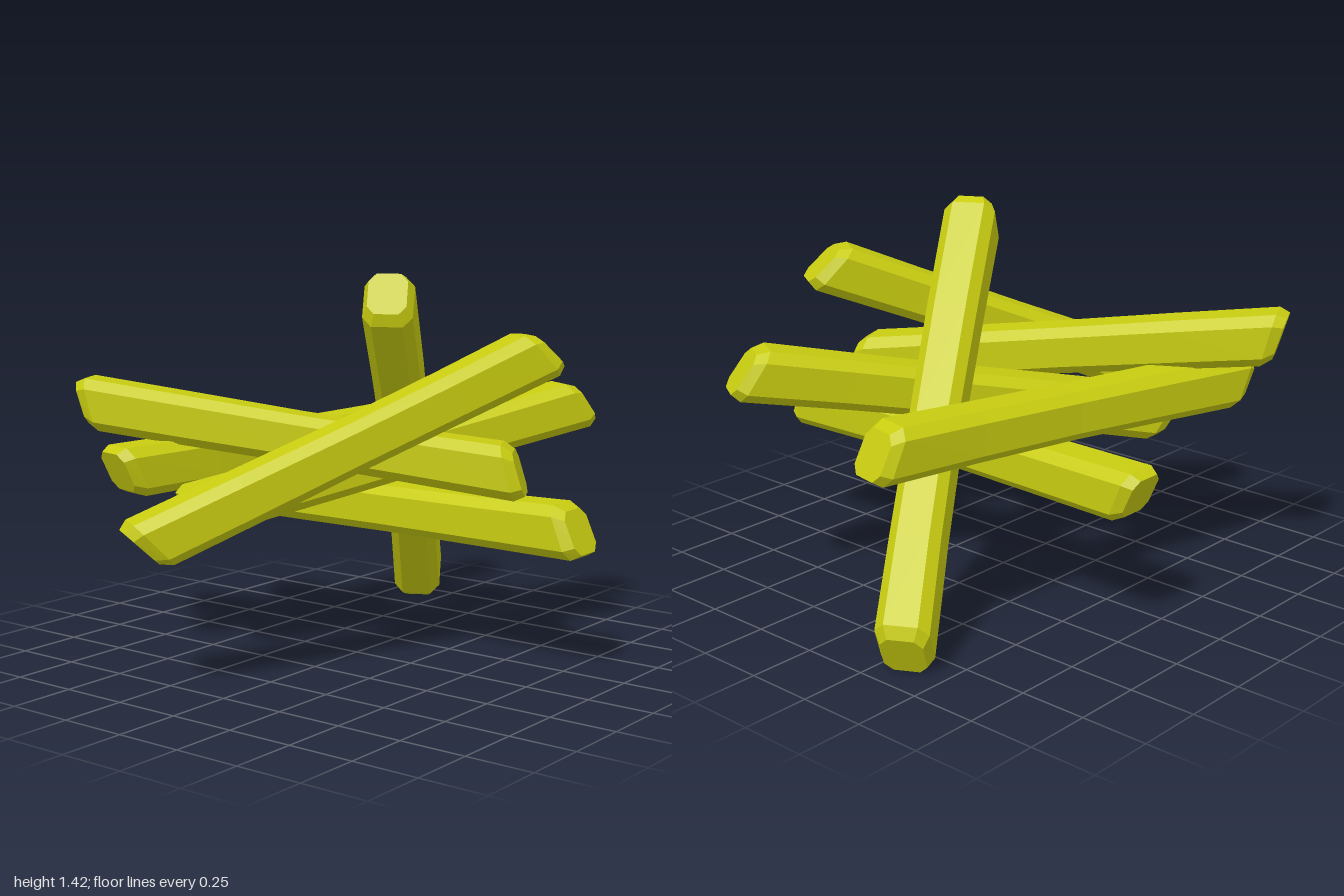
import * as THREE from 'three';

// Cross-section: square with chamfered corners, counter-clockwise seen from +z
const R = 0.093, C = 0.058;
const SECTION = [[R, -C], [R, C], [C, R], [-C, R], [-R, C], [-R, -C], [-C, -R], [C, -R]];

// Stations along the stick: z, section scale, slant of the cut, sideways bow
const STATIONS = [
  [-0.815, 0.78, 0.45, 0.004],
  [-0.775, 1.0, 0.4, 0.003],
  [-0.42, 0.98, 0.05, -0.004],
  [0.0, 0.94, 0, -0.007],
  [0.42, 0.97, 0.05, -0.003],
  [0.775, 1.02, 0.4, 0.006],
  [0.815, 0.8, 0.45, 0.008],
];

// Lofted stick along z with slanted, bevelled ends
function stickGeometry() {
  const n = SECTION.length;
  const positions = [];
  const index = [];
  for (const [z, s, slant, bow] of STATIONS) {
    for (const [x, y] of SECTION) positions.push(x * s + bow, y * s, z - slant * y * s);
  }
  for (let k = 0; k < STATIONS.length - 1; k++) {
    for (let i = 0; i < n; i++) {
      const a = k * n + i;
      const b = k * n + (i + 1) % n;
      index.push(a, b, b + n, a, b + n, a + n);
    }
  }
  // End caps
  const last = (STATIONS.length - 1) * n;
  for (let i = 1; i < n - 1; i++) {
    index.push(0, i + 1, i);
    index.push(last, last + i, last + i + 1);
  }
  const geometry = new THREE.BufferGeometry();
  geometry.setAttribute('position', new THREE.Float32BufferAttribute(positions, 3));
  geometry.setIndex(index);
  const flat = geometry.toNonIndexed();
  flat.computeVertexNormals();
  return flat;
}

// Each stick: name, centre, direction of its axis
const STICKS = [
  ['frontStick', [-0.29, 0.835, 0.19], [1.25, 0.6, 0.78]],
  ['crossingStick', [-0.205, 0.83, -0.11], [0.69, -0.21, 1.42]],
  ['bottomStick', [0.19, 0.53, 0.025], [0, 0, 1]],
  ['backStick', [0.15, 0.735, -0.43], [1.55, 0.05, 0.3]],
  ['middleStick', [0.205, 0.725, 0.02], [1.37, 0.32, 0.79]],
  ['leaningStick', [0.48, 0.705, -0.125], [0.86, -1.23, -0.47]],
];

export function createModel() {
  const group = new THREE.Group();
  group.name = 'stickPile';
  const material = new THREE.MeshStandardMaterial({ color: 0xc8cc10, flatShading: true });
  const geometry = stickGeometry();
  const up = new THREE.Vector3(0, 1, 0);

  for (const [name, centre, direction] of STICKS) {
    const z = new THREE.Vector3(...direction).normalize();
    const x = new THREE.Vector3().crossVectors(up, z).normalize();
    const y = new THREE.Vector3().crossVectors(z, x);
    const stick = new THREE.Mesh(geometry, material);
    stick.name = name;
    stick.quaternion.setFromRotationMatrix(new THREE.Matrix4().makeBasis(x, y, z));
    stick.position.set(...centre);
    group.add(stick);
  }
  return group;
}
